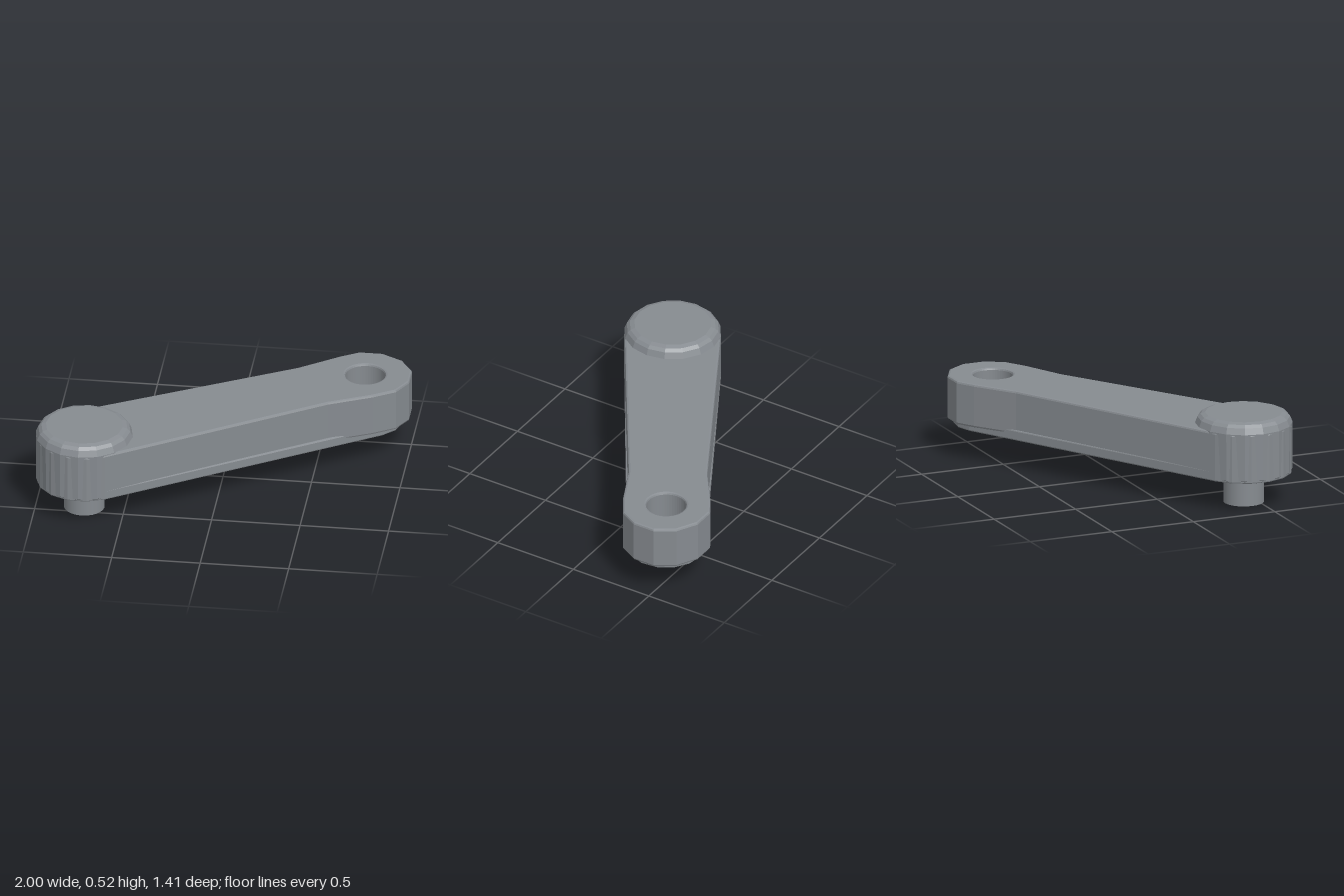
import * as THREE from 'three';

const COLOR = 0x868b90;
const faceted = new THREE.MeshStandardMaterial({ color: COLOR, flatShading: true, side: THREE.DoubleSide });
const smooth = new THREE.MeshStandardMaterial({ color: COLOR });

// Centres (x, z) of the two ends
const HUB = [-0.728, 0.43];
const EYE = [0.745, -0.455];
const HUB_RADIUS = 0.272;
const EYE_RADIUS = 0.222;
const HOLE_RADIUS = 0.112;

function addMesh(group, name, geometry, mat, x = 0, y = 0, z = 0) {
  const mesh = new THREE.Mesh(geometry, mat);
  mesh.name = name;
  mesh.position.set(x, y, z);
  group.add(mesh);
}

// Upright slab with softened edges from an (x, z) outline
function slab(outline, holes, bottom, top, bevel) {
  const shape = new THREE.Shape(outline.map(([x, z]) => new THREE.Vector2(x, -z)));
  shape.holes.push(...holes);
  const geometry = new THREE.ExtrudeGeometry(shape, {
    depth: top - bottom - 2 * bevel, curveSegments: 24,
    bevelThickness: bevel, bevelSize: bevel, bevelOffset: -bevel, bevelSegments: 2,
  });
  return geometry.rotateX(-Math.PI / 2).translate(0, bottom + bevel, 0);
}

// Arc of points, angles measured in the (x, -z) plane
function arc([cx, cz], radius, from, to, count) {
  return Array.from({ length: count + 1 }, (_, i) => {
    const a = from + ((to - from) * i) / count;
    return [cx + radius * Math.cos(a), cz - radius * Math.sin(a)];
  });
}

export function createModel() {
  const group = new THREE.Group();

  // Directions of the tangent lines that join the two rounded ends
  const dx = EYE[0] - HUB[0], dz = EYE[1] - HUB[1];
  const heading = Math.atan2(-dz, dx);
  const spread = Math.acos((HUB_RADIUS - EYE_RADIUS) / Math.hypot(dx, dz));
  const hubArc = arc(HUB, HUB_RADIUS, heading + spread, heading + Math.PI * 2 - spread, 8);

  // Upper arm, flaring into a wide faceted eye with a round hole
  const eyeOutline = [
    [0.58, -0.1], [0.82, -0.215], [0.94, -0.29], [1, -0.4], [1, -0.53],
    [0.93, -0.64], [0.81, -0.705], [0.68, -0.705], [0.58, -0.645], [0.36, -0.485],
  ];
  const hole = new THREE.Path();
  hole.absarc(EYE[0], -EYE[1], HOLE_RADIUS, 0, Math.PI * 2, true);
  addMesh(group, 'arm', slab([...hubArc, ...eyeOutline], [hole], 0.208, 0.46, 0.012), faceted);

  // Narrower base plate under the arm, which also floors the hole
  const eyeArc = arc(EYE, EYE_RADIUS, heading - spread, heading + spread, 7);
  addMesh(group, 'basePlate', slab([...hubArc, ...eyeArc], [], 0.174, 0.235, 0.008), faceted);

  // Raised round hub with a rounded rim
  const profile = [[0, 0.176], [0.26, 0.176], [0.272, 0.19], [0.274, 0.46], [0.26, 0.495], [0.243, 0.511], [0.217, 0.52], [0, 0.52]];
  const hub = new THREE.LatheGeometry(profile.map(([r, y]) => new THREE.Vector2(r, y)), 16);
  addMesh(group, 'hub', hub, faceted, HUB[0], 0, HUB[1]);

  // Pin under the hub
  addMesh(group, 'pin', new THREE.CylinderGeometry(0.115, 0.115, 0.22, 24), smooth, HUB[0], 0.11, HUB[1]);

  return group;
}
